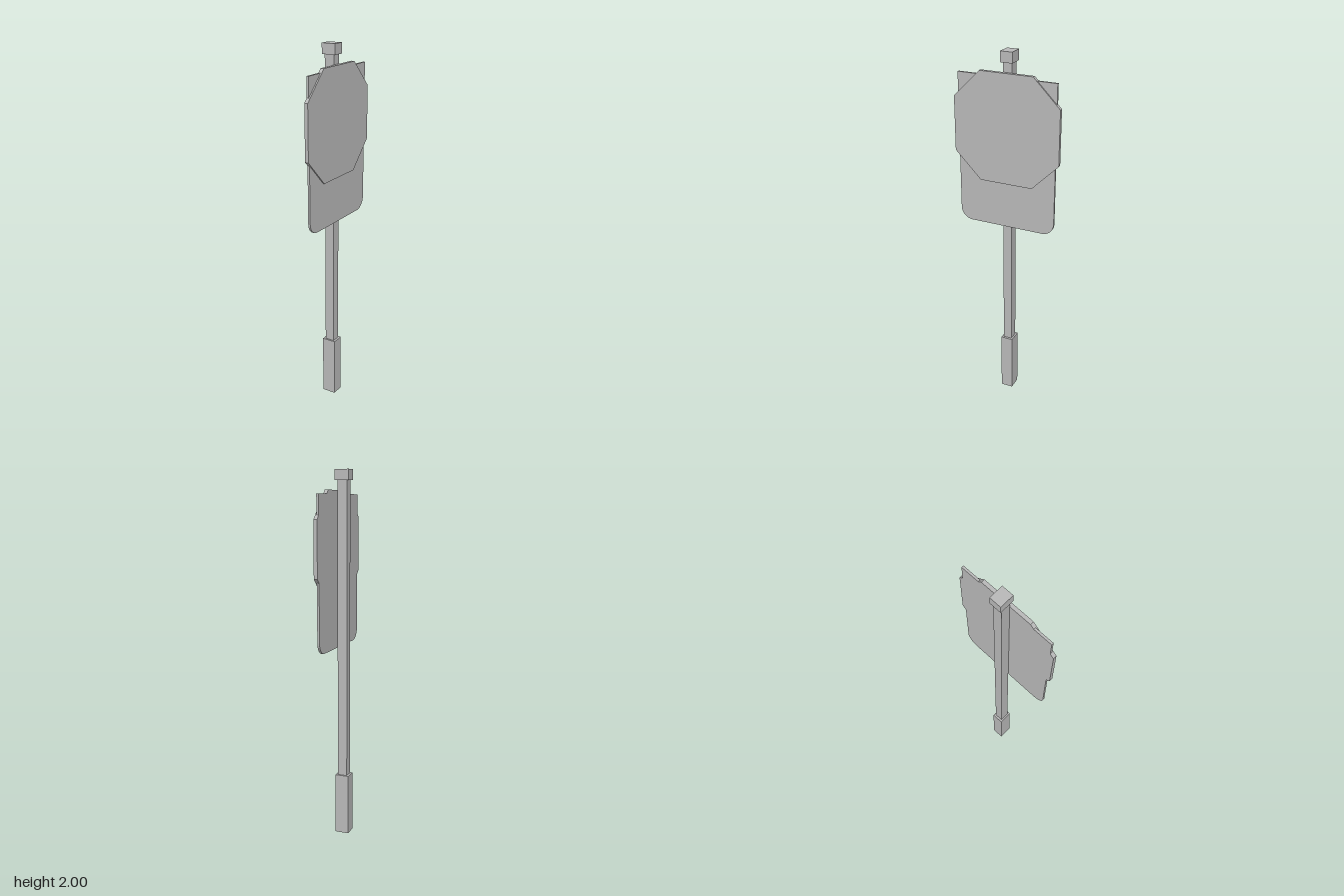
import * as THREE from 'three';

const grey = new THREE.MeshStandardMaterial({ color: 0xb8b8b8 });
grey.name = 'grey metal';

const Z = -0.0015; // common centre line of post and plates
const BACK = 0.022; // x of the post face that carries the plates

export function createModel() {
  const group = new THREE.Group();
  group.name = 'roadSign';

  const add = (name, geometry) => {
    const mesh = new THREE.Mesh(geometry, grey);
    mesh.name = name;
    group.add(mesh);
    return mesh;
  };

  // Square bar given by its width in x and z and its bottom and top
  const bar = (name, w, d, y0, y1) =>
    add(name, new THREE.BoxGeometry(w, y1 - y0, d)).position.set(-0.0045, (y0 + y1) / 2, Z);

  // Flat plate in the z-y plane, facing +x
  const plate = (name, shape, thickness) => {
    const geometry = new THREE.ExtrudeGeometry(shape, { depth: thickness, bevelEnabled: false, curveSegments: 4 });
    geometry.rotateY(Math.PI / 2);
    add(name, geometry).position.set(BACK, 0, Z);
  };

  // Post with its foot sleeve and cap
  bar('post', 0.053, 0.048, 0.3, 1.97);
  bar('footSleeve', 0.077, 0.067, 0, 0.34);
  bar('postCap', 0.077, 0.065, 1.945, 2);

  // Backing board: square top corners, rounded bottom corners
  const w = 0.27, y0 = 1.065, y1 = 1.875, r = 0.065;
  const board = new THREE.Shape();
  board.moveTo(-w, y1);
  board.lineTo(-w, y0 + r);
  board.absarc(-w + r, y0 + r, r, Math.PI, Math.PI * 1.5, false);
  board.lineTo(w - r, y0);
  board.absarc(w - r, y0 + r, r, -Math.PI / 2, 0, false);
  board.lineTo(w, y1);
  board.closePath();
  plate('backingBoard', board, 0.012);

  // Eight-sided sign with half-length chamfers
  const a = 0.291, b = 0.146, cy = 1.604;
  const corners = [[b, -a], [a, -b], [a, b], [b, a], [-b, a], [-a, b], [-a, -b], [-b, -a]];
  const sign = new THREE.Shape(corners.map(([u, v]) => new THREE.Vector2(u, cy + v)));
  plate('octagonSign', sign, 0.0195);

  return group;
}
